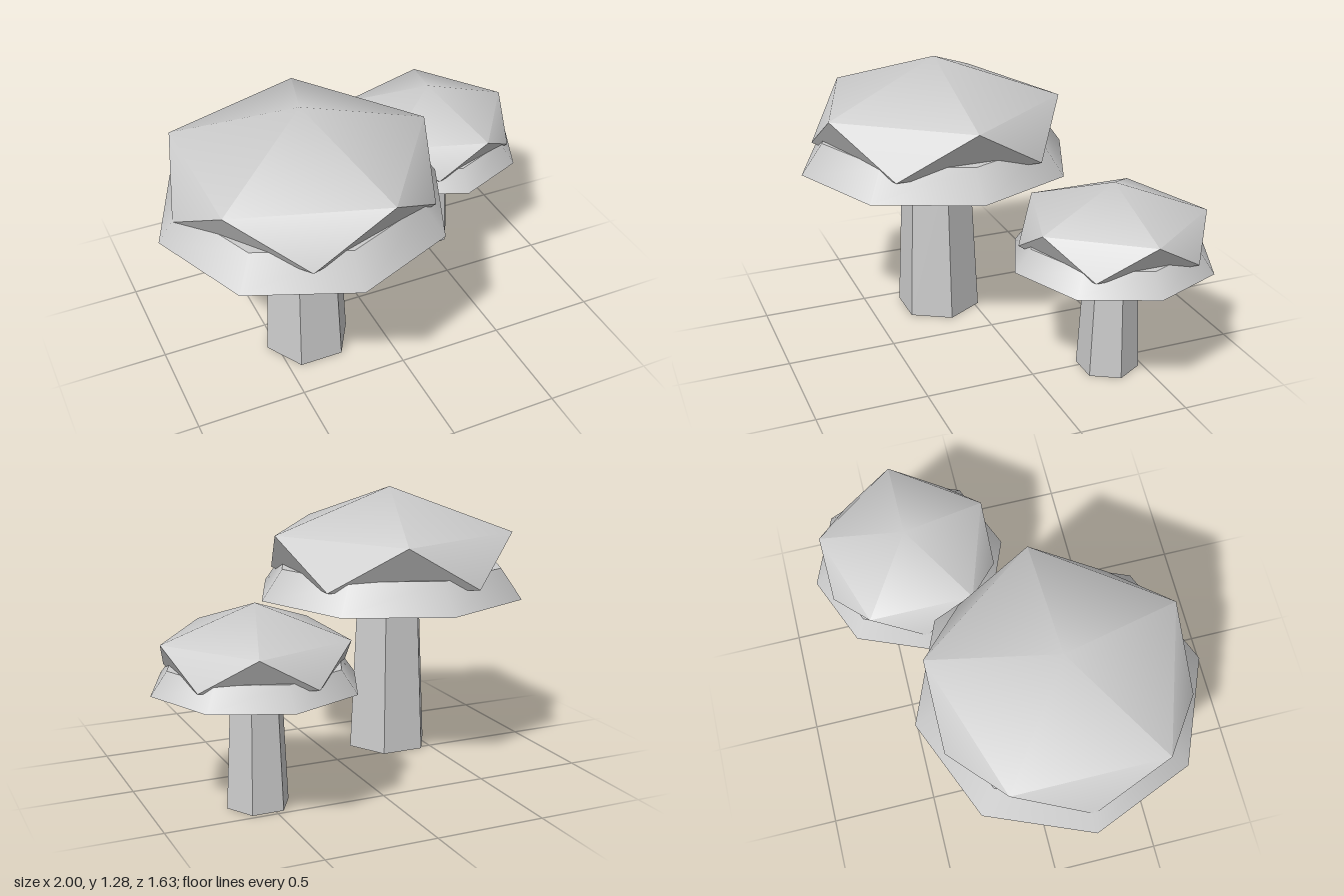
import * as THREE from 'three';
import { toCreasedNormals } from 'three/addons/utils/BufferGeometryUtils.js';

const CREASE = THREE.MathUtils.degToRad(50);

// Ten-point crown: an apex, five high points, five low points and a hidden base point
function crownGeometry() {
  const points = [0, 1.28, 0, 0, 0.81, 0];
  const faces = [];
  for (let i = 0; i < 10; i++) {
    const a = (i * Math.PI) / 5;
    points.push(0.59 * Math.cos(a), i % 2 ? 0.865 : 1.08, 0.59 * Math.sin(a));
  }
  const ring = (i) => 2 + (i % 10);
  for (let i = 0; i < 10; i += 2) {
    const high = ring(i), low = ring(i + 1), nextHigh = ring(i + 2), nextLow = ring(i + 3);
    faces.push(0, nextHigh, high); // roof
    faces.push(high, nextHigh, low); // flap hanging from the roof
    faces.push(nextHigh, nextLow, low); // recess between two flaps
    faces.push(1, low, nextLow); // underside
  }
  const geometry = new THREE.BufferGeometry();
  geometry.setAttribute('position', new THREE.Float32BufferAttribute(points, 3));
  geometry.setIndex(faces);
  return toCreasedNormals(geometry, CREASE);
}

function createMushroom(name, material) {
  const mushroom = new THREE.Group();
  mushroom.name = name;
  const add = (part, geometry, y) => {
    const mesh = new THREE.Mesh(geometry, material);
    mesh.name = part;
    mesh.position.y = y;
    mushroom.add(mesh);
  };

  // Open six-sided stem, tapering upwards
  const stem = new THREE.CylinderGeometry(0.165, 0.203, 0.78, 6, 1, true, Math.PI / 2);
  add('stem', toCreasedNormals(stem, CREASE), 0.39);

  // Eight-sided brim with a flat underside
  add('brim', new THREE.CylinderGeometry(0.555, 0.658, 0.143, 8), 0.8485);

  add('crown', crownGeometry(), 0);
  return mushroom;
}

export function createModel() {
  const grey = new THREE.MeshStandardMaterial({ color: 0xcccccc, side: THREE.DoubleSide });
  grey.name = 'light grey';

  const model = new THREE.Group();
  model.name = 'mushrooms';

  const large = createMushroom('largeMushroom', grey);
  large.position.set(-0.342, 0, 0.155);

  const small = createMushroom('smallMushroom', grey);
  small.scale.setScalar(0.7);
  small.position.set(0.537, 0, -0.355);

  model.add(large, small);
  return model;
}
